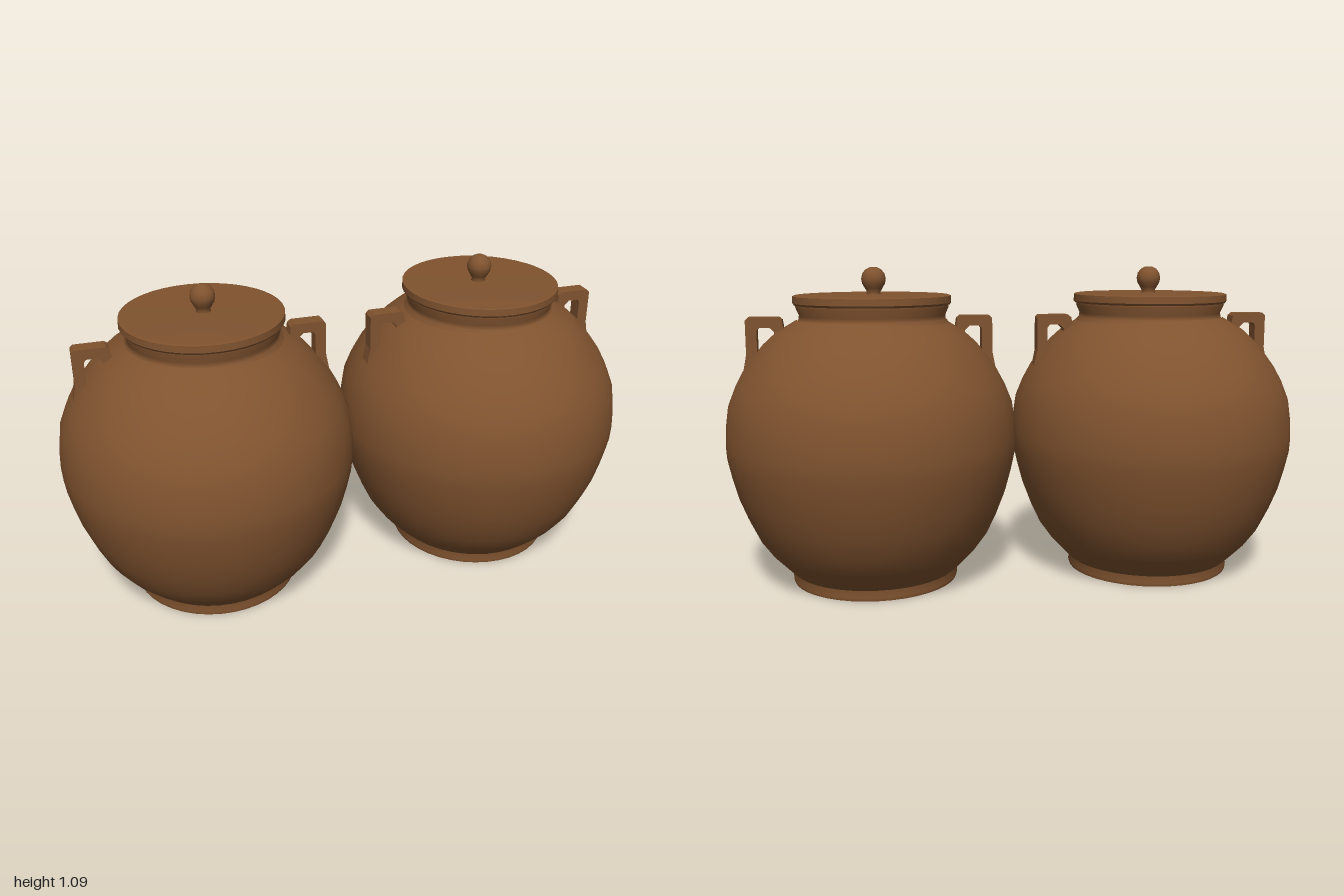
import * as THREE from 'three';

const clay = new THREE.MeshStandardMaterial({ color: 0x80532f });
clay.name = 'brown clay';

const DEPTH = 1.03; // jars are slightly deeper than wide

function part(name, geometry, parent) {
  const mesh = new THREE.Mesh(geometry, clay);
  mesh.name = name;
  parent.add(mesh);
  return mesh;
}

// Lathe from [radius, height] pairs, listed from bottom to top
function turned(points, segments = 40) {
  return new THREE.LatheGeometry(points.map(([r, y]) => new THREE.Vector2(r, y)), segments)
    .scale(1, 1, DEPTH);
}

// Squared lug: a top bar with an outer and an inner leg running into the shoulder
function lugGeometry() {
  const outline = [[0.29, 0.86], [0.325, 0.84], [0.325, 0.875], [0.34, 0.89], [0.375, 0.89], [0.383, 0.88],
    [0.383, 0.78], [0.40, 0.74], [0.432, 0.74], [0.42, 0.8], [0.42, 0.915], [0.41, 0.925],
    [0.31, 0.925], [0.298, 0.915]];
  const shape = new THREE.Shape(outline.map(([x, y]) => new THREE.Vector2(x, y)));
  return new THREE.ExtrudeGeometry(shape, { depth: 0.054, bevelEnabled: false }).translate(0, 0, -0.027);
}

function createJar(side) {
  const jar = new THREE.Group();
  jar.name = side > 0 ? 'leftJar' : 'rightJar';

  // Flat foot
  part('foot', turned([[0, 0], [0.287, 0], [0.287, 0], [0.29, 0.012], [0.286, 0.04], [0.295, 0.06]]), jar);

  // Round belly
  const belly = [[0.285, 0.035], [0.312, 0.06], [0.36, 0.11], [0.403, 0.17], [0.436, 0.24], [0.463, 0.31],
    [0.483, 0.385], [0.497, 0.45], [0.5, 0.5], [0.497, 0.56], [0.487, 0.63], [0.463, 0.69],
    [0.436, 0.74], [0.4, 0.79], [0.365, 0.832], [0.32, 0.873], [0.25, 0.915]];
  part('belly', turned(belly), jar);

  // Lug handles on both sides
  for (const angle of [0, Math.PI]) {
    const lug = part('lugHandle', lugGeometry(), jar);
    lug.rotation.y = angle;
  }

  // Neck, lid and knob sit slightly towards the middle of the pair
  const top = new THREE.Group();
  top.name = 'neckAndLid';
  top.position.x = -0.008 * side;
  jar.add(top);
  part('neck', turned([[0.27, 0.895], [0.252, 0.915], [0.25, 0.93], [0.262, 0.958], [0.258, 0.972]]), top);
  part('lid', turned([[0, 0.965], [0.266, 0.965], [0.266, 0.965], [0.271, 0.972], [0.271, 0.972],
    [0.27, 0.995], [0.27, 0.995], [0.262, 0.998], [0, 1.0]]), top);
  const knob = part('knob', turned([[0.027, 0.996], [0.022, 1.006], [0.03, 1.02], [0.039, 1.036], [0.042, 1.052],
    [0.038, 1.07], [0.027, 1.084], [0.013, 1.091], [0, 1.092]], 16), top);
  knob.position.x = -0.005 * side;

  jar.position.x = 0.5 * side;
  return jar;
}

export function createModel() {
  const model = new THREE.Group();
  model.name = 'pairOfJars';
  for (const side of [-1, 1]) model.add(createJar(side));
  return model;
}
